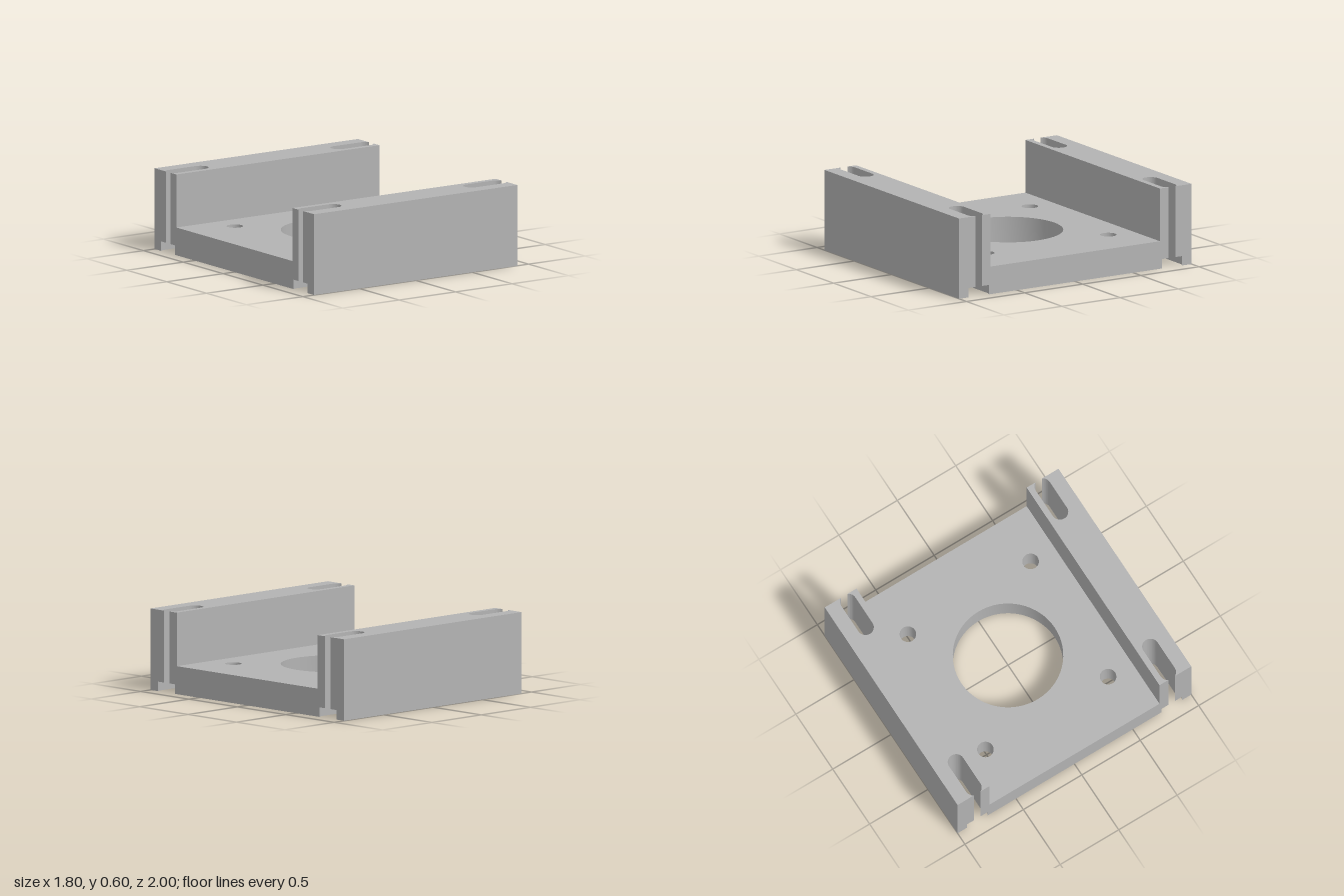
import * as THREE from 'three';
import { toCreasedNormals } from 'three/addons/utils/BufferGeometryUtils.js';

const HALF_X = 0.9, INNER_Z = 0.728, HEIGHT = 0.597, PLATE = 0.205, FOOT = 0.07;
const SLOT_Z = 0.832, SLOT_IN = 0.614, SLOT_OUT = 0.8465;

// Extrude a plan shape (x, -z) upwards from y0 to y1
function extrudeUp(shape, y0, y1) {
  const g = new THREE.ExtrudeGeometry(shape, { depth: y1 - y0, bevelEnabled: false, curveSegments: 32 });
  g.rotateX(-Math.PI / 2);
  g.translate(0, y0, 0);
  return toCreasedNormals(g, 0.6);
}

// Rail plan: a bar whose two ends are cut by round-ended slots of radius r
function railShape(r) {
  const s = new THREE.Shape();
  const a = Math.acos((HALF_X - SLOT_OUT) / r), q = Math.PI / 2;
  s.moveTo(-HALF_X, -1);
  s.lineTo(HALF_X, -1);
  // slot at the +x end
  s.absarc(SLOT_OUT, -SLOT_Z, r, -a, -q, true);
  s.absarc(SLOT_IN, -SLOT_Z, r, -q, -3 * q, true);
  s.absarc(SLOT_OUT, -SLOT_Z, r, q, a, true);
  s.lineTo(HALF_X, -INNER_Z);
  s.lineTo(-HALF_X, -INNER_Z);
  // slot at the -x end
  s.absarc(-SLOT_OUT, -SLOT_Z, r, Math.PI - a, q, true);
  s.absarc(-SLOT_IN, -SLOT_Z, r, q, -q, true);
  s.absarc(-SLOT_OUT, -SLOT_Z, r, -q, a - Math.PI, true);
  s.closePath();
  return s;
}

// Base plate with the large bore and four screw holes
function plateShape() {
  const s = new THREE.Shape();
  s.moveTo(-HALF_X, -INNER_Z);
  s.lineTo(HALF_X, -INNER_Z);
  s.lineTo(HALF_X, INNER_Z);
  s.lineTo(-HALF_X, INNER_Z);
  s.closePath();
  const hole = (x, y, r) => s.holes.push(new THREE.Path().absarc(x, y, r, 0, Math.PI * 2, true));
  hole(0, 0, 0.4);
  for (const x of [-0.525, 0.525]) for (const y of [-0.525, 0.525]) hole(x, y, 0.06);
  return s;
}

export function createModel() {
  const model = new THREE.Group();
  model.name = 'mountingBracket';
  const metal = new THREE.MeshStandardMaterial({ color: 0xb3b3b3 });
  metal.name = 'grey metal';

  const add = (parent, geometry, name) => {
    const mesh = new THREE.Mesh(geometry, metal);
    mesh.name = name;
    parent.add(mesh);
  };

  add(model, extrudeUp(plateShape(), 0, PLATE), 'basePlate');

  // Rails: wide counterbored foot below, narrow slots above
  const foot = extrudeUp(railShape(0.103), 0, FOOT);
  const wall = extrudeUp(railShape(0.0605), FOOT, HEIGHT);
  for (const [name, turn] of [['frontRail', 0], ['backRail', Math.PI]]) {
    const rail = new THREE.Group();
    rail.name = name;
    rail.rotation.y = turn;
    add(rail, foot, name + 'Foot');
    add(rail, wall, name + 'Wall');
    model.add(rail);
  }
  return model;
}
